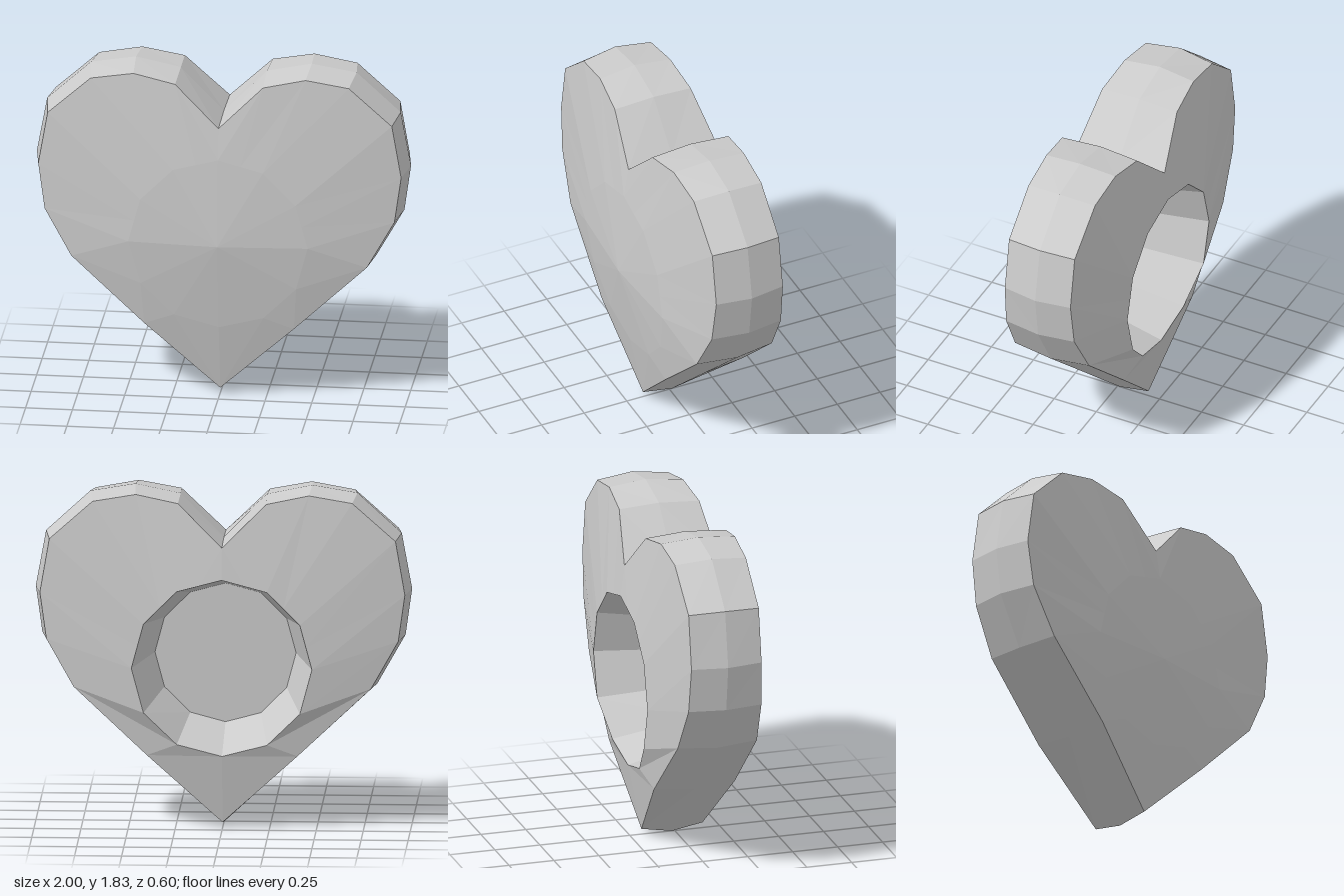
import * as THREE from 'three';

const CY = 0.88; // height of the socket axis

// Right half of the heart, from notch to tip: x, y, front z, back z
const RIM = [
  [0, 1.53, 0.24, -0.28], [0.235, 1.76, 0.21, -0.235], [0.46, 1.805, 0.19, -0.22],
  [0.69, 1.765, 0.18, -0.215], [0.92, 1.56, 0.18, -0.21], [0.97, 1.27, 0.18, -0.21],
  [0.935, 1.02, 0.19, -0.215], [0.79, 0.765, 0.21, -0.23], [0.4, 0.4, 0.21, -0.24],
  [0, 0.03, 0.155, -0.185],
];
const GIRTH = [
  [0, 1.54], [0.23, 1.775], [0.47, 1.825], [0.71, 1.785], [0.945, 1.57],
  [1, 1.27], [0.965, 1.02], [0.815, 0.755], [0.41, 0.38], [0, 0],
];
// Directions on the twelve-sided socket ring that meet the outline points
const ANGLES = [90, 75, 60, 45, 30, 15, 0, -30, -60, -90];

// Closes a half outline by mirroring it across x = 0
function mirrored(half) {
  const left = half.slice(1, -1).reverse().map(([x, y, z]) => [-x, y, z]);
  return [...half, ...left];
}

// Half ring on a twelve-sided polygon, z given by a rule of the height
function ring(radius, zAt) {
  return mirrored(ANGLES.map((deg) => {
    const a = THREE.MathUtils.degToRad(deg);
    const r = deg % 30 ? radius * Math.cos(Math.PI / 12) : radius;
    const y = CY + r * Math.sin(a);
    return [r * Math.cos(a), y, zAt(y)];
  }));
}

function point(z) {
  return mirrored(ANGLES.map(() => [0, CY, z]));
}

// Skins a series of matching loops with flat facets
function skin(name, loops, material) {
  const pos = [];
  const tri = (a, b, c) => {
    const [p, q, r] = [a, b, c].map((v) => new THREE.Vector3(...v));
    if (q.sub(p).cross(r.sub(p)).length() > 1e-7) pos.push(...a, ...b, ...c);
  };
  for (let k = 0; k + 1 < loops.length; k++) {
    const A = loops[k], B = loops[k + 1], n = A.length;
    for (let i = 0; i < n; i++) {
      const j = (i + 1) % n;
      // Diagonals mirror from one half to the other
      if (i < n / 2) {
        tri(A[i], B[j], B[i]);
        tri(A[i], A[j], B[j]);
      } else {
        tri(A[i], A[j], B[i]);
        tri(A[j], B[j], B[i]);
      }
    }
  }
  const geometry = new THREE.BufferGeometry();
  geometry.setAttribute('position', new THREE.Float32BufferAttribute(pos, 3));
  geometry.computeVertexNormals();
  const mesh = new THREE.Mesh(geometry, material);
  mesh.name = name;
  return mesh;
}

export function createModel() {
  const model = new THREE.Group();
  model.name = 'heart';
  const material = new THREE.MeshStandardMaterial({ color: 0xcccccc, flatShading: true });

  const frontRim = mirrored(RIM.map(([x, y, z]) => [x, y, z]));
  const backRim = mirrored(RIM.map(([x, y, , z]) => [x, y, z]));
  const girth = mirrored(GIRTH.map(([x, y]) => [x, y, -0.015]));

  // Domed rings: the surface falls away towards the tip
  const frontRing = ring(0.48, (y) => 0.267 - 0.08 * Math.max(0, CY - y));
  const mouth = ring(0.48, (y) => -0.302 + 0.18 * Math.max(0, CY - 0.25 - y));
  const floorRing = ring(0.375, () => 0.17);

  model.add(
    skin('frontFace', [point(0.3), frontRing, frontRim], material),
    skin('sideBand', [frontRim, girth, backRim], material),
    skin('backFace', [backRim, mouth], material),
    skin('socketWall', [mouth, floorRing], material),
    skin('socketFloor', [floorRing, point(0.17)], material),
  );
  return model;
}
